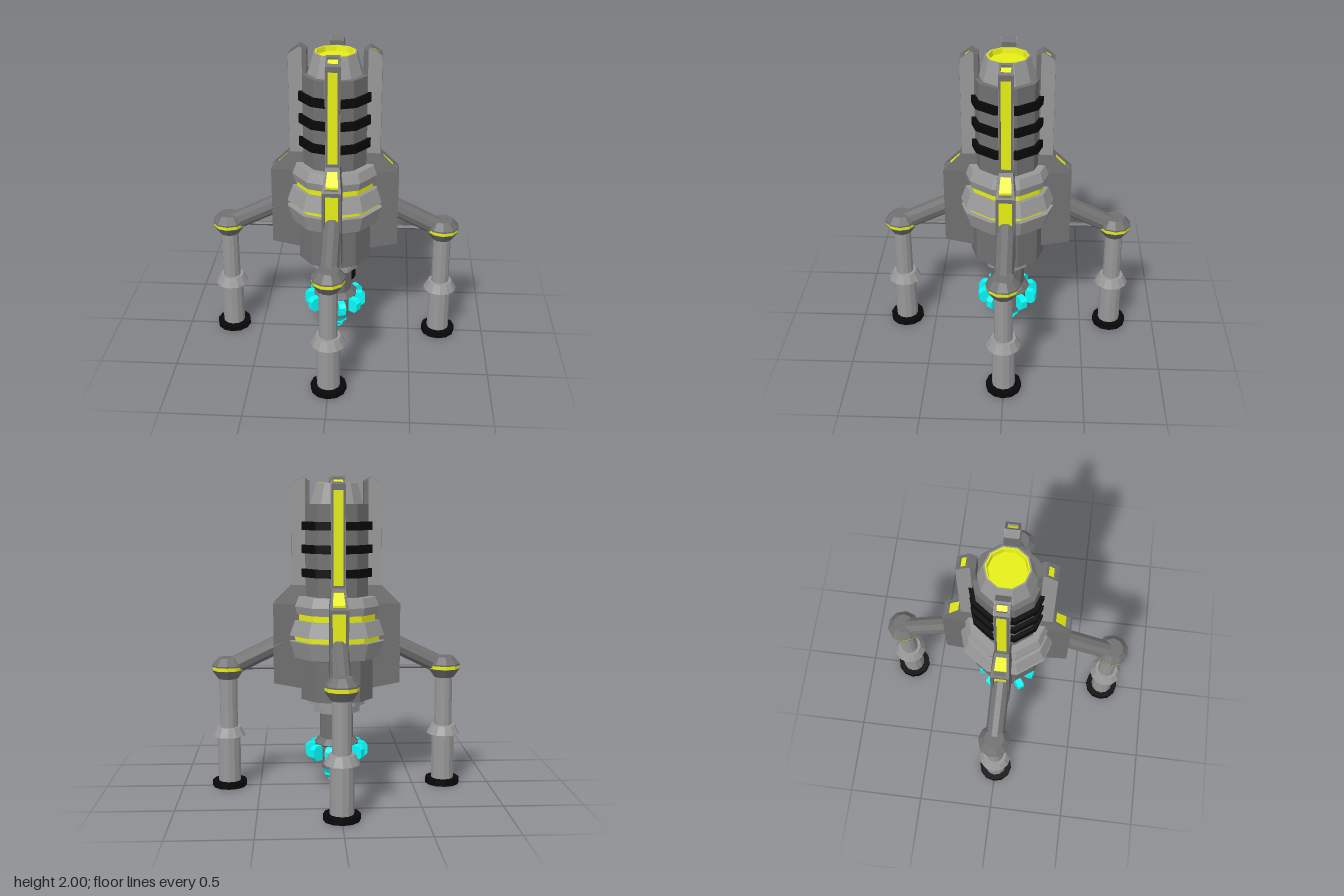
import * as THREE from 'three';

const make = (color) => new THREE.MeshStandardMaterial({ color, flatShading: true });
const light = make(0x989898), dark = make(0x707070), black = make(0x080808);
const yellow = make(0xe6ee14), cyan = make(0x08fafa);

function add(parent, name, geometry, material) {
  const mesh = new THREE.Mesh(geometry, material);
  mesh.name = name;
  parent.add(mesh);
  return mesh;
}

// Faceted turned part, profile of [radius, y] from bottom to top, closed at both ends
function turned(parent, name, profile, material, sides = 10) {
  const pts = [[0, profile[0][1]], ...profile, [0, profile[profile.length - 1][1]]];
  return add(parent, name, new THREE.LatheGeometry(pts.map(p => new THREE.Vector2(...p)), sides), material);
}

// Polygon in the x-y plane, given thickness from z0 to z1
function slab(points, z0, z1) {
  const shape = new THREE.Shape(points.map(p => new THREE.Vector2(...p)));
  return new THREE.ExtrudeGeometry(shape, { depth: z1 - z0, bevelEnabled: false }).translate(0, 0, z0);
}

// Fin piece: a slab that widens from the upper to the lower section
function finPiece(parent, name, points, z0, z1, material) {
  const geo = slab(points, z0, z1);
  const pos = geo.attributes.position;
  for (let i = 0; i < pos.count; i++) {
    const t = THREE.MathUtils.clamp((1.32 - pos.getY(i)) / 0.12, 0, 1);
    pos.setZ(i, pos.getZ(i) * (1 + 0.36 * t));
  }
  add(parent, name, geo, material);
}

// Cylinder between two points
function rod(parent, name, a, b, radius, sides, material) {
  const start = new THREE.Vector3(...a), end = new THREE.Vector3(...b);
  const dir = end.clone().sub(start);
  const mesh = add(parent, name, new THREE.CylinderGeometry(radius, radius, dir.length(), sides), material);
  mesh.position.copy(start).add(end).multiplyScalar(0.5);
  mesh.quaternion.setFromUnitVectors(new THREE.Vector3(0, 1, 0), dir.normalize());
}

function makeBody() {
  const body = new THREE.Group();
  body.name = 'body';
  turned(body, 'lowerHull', [[0.24, 0.59], [0.24, 0.9]], dark);
  turned(body, 'lowerBand', [[0.24, 0.85], [0.28, 0.86], [0.315, 0.97], [0.27, 0.97]], light);
  turned(body, 'lowerGlowRing', [[0.28, 0.965], [0.28, 1.01]], yellow);
  turned(body, 'middleBand', [[0.27, 1.005], [0.315, 1.005], [0.28, 1.1], [0.25, 1.1]], light);
  turned(body, 'upperGlowRing', [[0.253, 1.095], [0.253, 1.145]], yellow);
  turned(body, 'upperBand', [[0.25, 1.14], [0.268, 1.14], [0.28, 1.19], [0.255, 1.25], [0.2, 1.25]], light);
  turned(body, 'tower', [[0.207, 1.24], [0.207, 1.83]], dark);
  for (const y of [1.4, 1.55, 1.695])
    turned(body, 'towerRing', [[0.234, y - 0.026], [0.234, y + 0.026]], black);
  // Cap with a glowing cup set into it
  turned(body, 'cap', [[0.174, 1.83], [0.137, 1.96], [0.125, 1.96], [0.118, 1.92]], light);
  turned(body, 'capGlow', [[0.127, 1.95], [0.127, 1.962], [0.118, 1.962], [0.112, 1.93]], yellow);
  turned(body, 'bottomSteps', [[0.155, 0.5], [0.155, 0.55], [0.188, 0.55], [0.188, 0.6]], light);
  return body;
}

function makeDrill() {
  const drill = new THREE.Group();
  drill.name = 'drill';
  turned(drill, 'neck', [[0.112, 0.3], [0.112, 0.51]], dark);
  turned(drill, 'collar', [[0.1, 0.12], [0.1, 0.19], [0.14, 0.19], [0.14, 0.28], [0.148, 0.29], [0.115, 0.325]], dark);
  turned(drill, 'tip', [[0.018, 0.005], [0.055, 0.035], [0.05, 0.045], [0.082, 0.075], [0.077, 0.085], [0.1, 0.125]], cyan);
  // Ring of chamfered teeth
  const tooth = [[0.11, 0.19], [0.18, 0.19], [0.202, 0.212], [0.202, 0.263], [0.18, 0.285], [0.11, 0.285]];
  for (let i = 0; i < 10; i++)
    add(drill, 'tooth', slab(tooth, -0.022, 0.022), cyan).rotation.y = i * Math.PI / 5;
  return drill;
}

function makeFin() {
  const fin = new THREE.Group();
  fin.name = 'fin';
  // Side plates in three flat sections: lower, sloping and upper
  const sections = [
    [[0.172, 0.645], [0.405, 0.69], [0.405, 1.2], [0.172, 1.2]],
    [[0.172, 1.2], [0.405, 1.2], [0.285, 1.32], [0.172, 1.32]],
    [[0.172, 1.32], [0.285, 1.32], [0.285, 1.95], [0.215, 2], [0.172, 1.975]],
  ];
  const panel = [[0.2, 1.32], [0.284, 1.32], [0.284, 1.949], [0.215, 1.998], [0.2, 1.989]];
  for (const s of [-1, 1]) {
    const range = (a, b) => s > 0 ? [a, b] : [-b, -a];
    for (const section of sections) finPiece(fin, 'finSide', section, ...range(0.03, 0.043), dark);
    finPiece(fin, 'finPanel', panel, ...range(0.042, 0.045), light);
  }
  // Glowing strip, set deeper in the lower section
  const core = [[0.18, 0.67], [0.365, 0.71], [0.365, 1.223], [0.273, 1.315], [0.273, 1.945],
    [0.215, 1.985], [0.185, 1.97], [0.185, 1.32], [0.185, 1.2]];
  finPiece(fin, 'finGlow', core, -0.031, 0.031, yellow);
  // Cross bars that split the glowing strip, and the closed back and bottom
  const bars = [
    [[0.172, 0.645], [0.405, 0.69], [0.405, 0.73], [0.172, 0.685]],
    [[0.34, 1.175], [0.403, 1.175], [0.403, 1.2], [0.393, 1.21], [0.34, 1.21]],
    [[0.26, 1.29], [0.303, 1.3], [0.284, 1.32], [0.284, 1.335], [0.26, 1.335]],
    [[0.25, 1.915], [0.284, 1.915], [0.284, 1.95], [0.266, 1.963], [0.25, 1.95]],
    [[0.172, 0.66], [0.2, 0.66], [0.2, 1.96], [0.228, 1.975], [0.228, 1.99], [0.215, 1.999], [0.172, 1.975]],
  ];
  for (const bar of bars) finPiece(fin, 'finBar', bar, -0.0305, 0.0305, dark);
  return fin;
}

function makeLeg() {
  const leg = new THREE.Group();
  leg.name = 'leg';
  const post = new THREE.Group();
  post.name = 'post';
  post.position.x = 0.7;
  leg.add(post);
  turned(post, 'foot', [[0.111, 0.002], [0.111, 0.04]], black, 12);
  turned(post, 'sole', [[0.109, 0], [0.109, 0.004]], dark, 12);
  turned(post, 'lowerPost', [[0.073, 0.04], [0.073, 0.345]], light, 12);
  turned(post, 'postCollar', [[0.108, 0.34], [0.078, 0.397]], light, 12);
  turned(post, 'upperPost', [[0.057, 0.39], [0.057, 0.73]], light, 12);
  turned(post, 'jointBottom', [[0.065, 0.715], [0.105, 0.772]], dark);
  turned(post, 'jointGlow', [[0.1, 0.77], [0.1, 0.798]], yellow);
  turned(post, 'jointTop', [[0.105, 0.795], [0.105, 0.805], [0.065, 0.85]], dark);
  // Angled strut and thin brace back to the fin
  rod(leg, 'strut', [0.69, 0.785, 0], [0.34, 0.955, 0], 0.06, 10, dark);
  rod(leg, 'brace', [0.66, 0.785, 0], [0.36, 0.785, 0], 0.014, 6, dark);
  return leg;
}

export function createModel() {
  const model = new THREE.Group();
  model.name = 'drillingRig';
  model.add(makeBody(), makeDrill());
  // Fin and leg repeated on all four sides
  for (let i = 0; i < 4; i++) {
    const side = new THREE.Group();
    side.name = 'side';
    side.add(makeFin(), makeLeg());
    side.rotation.y = i * Math.PI / 2;
    model.add(side);
  }
  return model;
}
